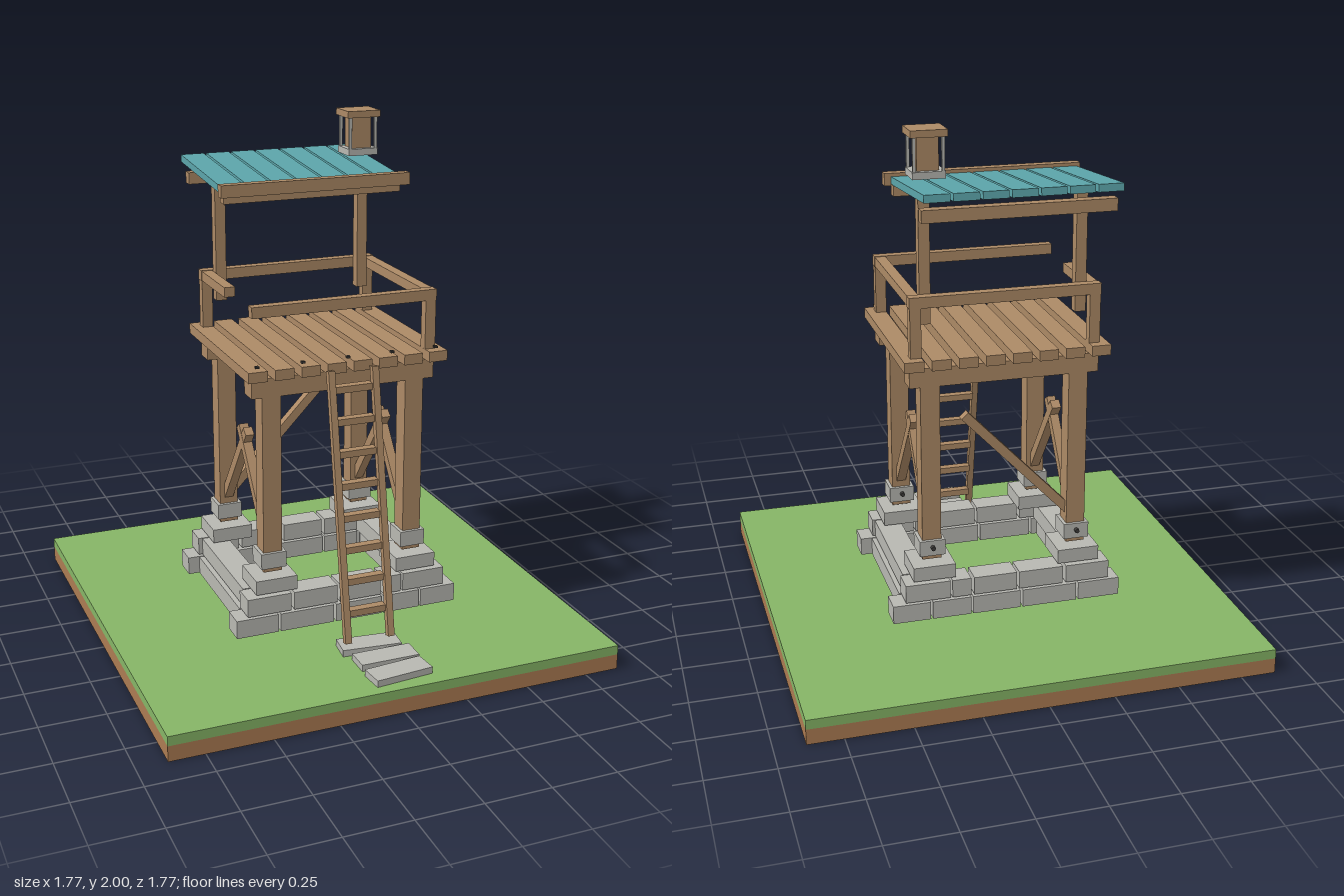
import * as THREE from 'three';

export function createModel() {
  const model = new THREE.Group();
  model.name = 'watchtower';

  const paint = (name, color) => {
    const m = new THREE.MeshStandardMaterial({ color });
    m.name = name;
    return m;
  };
  const grass = paint('grass green', 0x86b566);
  const dirt = paint('earth brown', 0xac7b52);
  const wood = paint('timber brown', 0xad8a66);
  const stone = paint('stone grey', 0xb8b8b2);
  const teal = paint('roof teal', 0x5ca5aa);
  const iron = paint('dark iron', 0x3c3a38);

  // Box given by its extents on each axis
  function block(name, mat, [x0, x1], [y0, y1], [z0, z1]) {
    const mesh = new THREE.Mesh(new THREE.BoxGeometry(x1 - x0, y1 - y0, z1 - z0), mat);
    mesh.position.set((x0 + x1) / 2, (y0 + y1) / 2, (z0 + z1) / 2);
    mesh.name = name;
    model.add(mesh);
    return mesh;
  }

  // Square-cut bar between two points; width lies along x when the bar runs in the yz plane
  function bar(name, mat, a, b, width, depth) {
    const from = new THREE.Vector3(...a), to = new THREE.Vector3(...b);
    const dir = to.clone().sub(from);
    const mesh = new THREE.Mesh(new THREE.BoxGeometry(width, dir.length(), depth), mat);
    mesh.position.copy(from).add(to).multiplyScalar(0.5);
    mesh.quaternion.setFromUnitVectors(new THREE.Vector3(0, 1, 0), dir.normalize());
    mesh.name = name;
    model.add(mesh);
    return mesh;
  }
  const span = (c, size) => [c - size / 2, c + size / 2];

  // Ground slab
  block('earth', dirt, [-0.885, 0.885], [0, 0.06], [-0.885, 0.885]);
  block('grass', grass, [-0.885, 0.885], [0.06, 0.097], [-0.885, 0.885]);

  // Stone foundation, two courses with staggered joints
  const lower = [[-0.455, -0.287], [-0.278, -0.06], [-0.05, 0.14], [0.148, 0.3], [0.308, 0.455]];
  const upper = [[-0.41, -0.235], [-0.222, -0.045], [-0.035, 0.135], [0.148, 0.222], [0.23, 0.405]];
  for (const s of [1, -1]) {
    const wall = span(s * 0.308, 0.095);
    for (const x of lower) block('lowerStone', stone, x, [0.124, 0.196], wall);
    for (const x of upper) block('upperStone', stone, x, [0.205, 0.276], wall);
    block('lowerSideStone', stone, span(s * 0.36, 0.1), [0.124, 0.196], [-0.255, 0.255]);
    block('upperSideStone', stone, span(s * 0.345, 0.1), [0.205, 0.276], [-0.255, 0.255]);
  }

  // Corner pads, footings, bolts and legs
  for (const sx of [1, -1]) {
    for (const sz of [1, -1]) {
      const x = sx * 0.288, z = sz * 0.261;
      block('cornerPad', stone, span(x, 0.165), [0.284, 0.34], span(z, 0.165));
      block('footing', stone, span(x, 0.1), [0.37, 0.432], span(z, 0.102));
      block('leg', wood, span(x, 0.074), [0.352, 1.05], span(z, 0.076));
      const bolt = new THREE.Mesh(new THREE.CylinderGeometry(0.009, 0.009, 0.02, 8), iron);
      bolt.rotation.x = Math.PI / 2;
      bolt.position.set(x, 0.405, z - 0.057);
      bolt.name = 'bolt';
      model.add(bolt);
    }
  }

  // Crossed side braces and one long back brace
  for (const sx of [1, -1]) {
    for (const sz of [1, -1]) {
      bar('sideBrace', wood, [sx * 0.288, 0.47, sz * 0.236], [sx * 0.288, 0.83, sz * -0.038], 0.036 + sz * 0.001, 0.038);
    }
  }
  bar('backBrace', wood, [-0.265, 0.48, -0.261], [0.15, 0.912, -0.261], 0.036, 0.036);

  // Platform beams, planks and nails
  for (const sz of [1, -1]) block('deckBeam', wood, [-0.366, 0.366], [1.05, 1.124], span(sz * 0.261, 0.08));
  for (let i = 0; i < 8; i++) {
    block('deckPlank', wood, span((i - 3.5) * 0.1025, 0.074), [1.13, 1.17], [-0.356, 0.358]);
  }
  for (let i = -2; i <= 2; i++) block('nail', iron, span(i * 0.178, 0.014), [1.178, 1.186], span(0.335, 0.014));

  // Railing: the front left corner is broken away
  for (const [x, z] of [[0.343, 0.297], [0.343, -0.297], [-0.343, -0.297]]) {
    block('railPost', wood, span(x, 0.042), [1.17, 1.36], span(z, 0.038));
  }
  for (const sz of [1, -1]) block('rail', wood, [-0.366, 0.366], [1.358, 1.4], span(sz * 0.297, 0.038));
  block('rightRail', wood, [0.322, 0.364], [1.36, 1.398], [-0.278, 0.278]);
  block('leftRail', wood, [-0.364, -0.322], [1.36, 1.398], [-0.278, 0.0]);

  // Roof supports
  for (const sx of [1, -1]) block('roofPost', wood, span(sx * 0.298, 0.042), [1.285, 1.752], span(-0.256, 0.042));
  block('frontRoofBeam', wood, [-0.358, 0.356], [1.712, 1.752], [-0.05, -0.007]);
  block('backRoofBeam', wood, [-0.358, 0.356], [1.712, 1.758], [-0.482, -0.44]);
  block('eaveBeam', wood, [-0.38, 0.38], [1.743, 1.79], [-0.006, 0.032]);

  // Sloping roof planks
  for (let i = 0; i < 7; i++) {
    const x = -0.319 + i * 0.1045;
    bar('roofPlank', teal, [x, 1.763, -0.006], [x, 1.805, -0.516], 0.094, 0.028);
  }

  // Lantern box on the roof
  const lx = 0.283, lz = -0.25;
  block('lanternBase', stone, span(lx, 0.122), [1.826, 1.852], span(lz, 0.112));
  block('lanternBody', wood, span(lx, 0.08), [1.852, 1.974], span(lz, 0.072));
  block('lanternCap', wood, span(lx, 0.136), [1.974, 2.0], span(lz, 0.122));
  for (const sx of [1, -1]) {
    for (const sz of [1, -1]) {
      block('lanternPost', stone, span(lx + sx * 0.053, 0.011), [1.852, 1.974], span(lz + sz * 0.048, 0.011));
    }
  }

  // Ladder leaning on the front
  for (const sx of [1, -1]) {
    bar('ladderRail', wood, [sx * 0.087, 0.135, 0.557], [sx * 0.087, 1.15, 0.378], 0.026, 0.026);
  }
  for (let i = 0; i < 8; i++) {
    const y = 0.243 + i * 0.119;
    const z = 0.557 - (y - 0.135) * 0.1764;
    block('rung', wood, [-0.075, 0.075], span(y, 0.026), span(z - 0.015, 0.034));
  }

  // Stepping stones at the ladder foot
  for (const [x, z, turn] of [[0.002, 0.55, -0.1], [0.02, 0.667, 0], [0.02, 0.783, 0.1]]) {
    block('steppingStone', stone, span(x, 0.23), [0.097, 0.123], span(z, 0.095)).rotation.y = turn;
  }

  return model;
}
